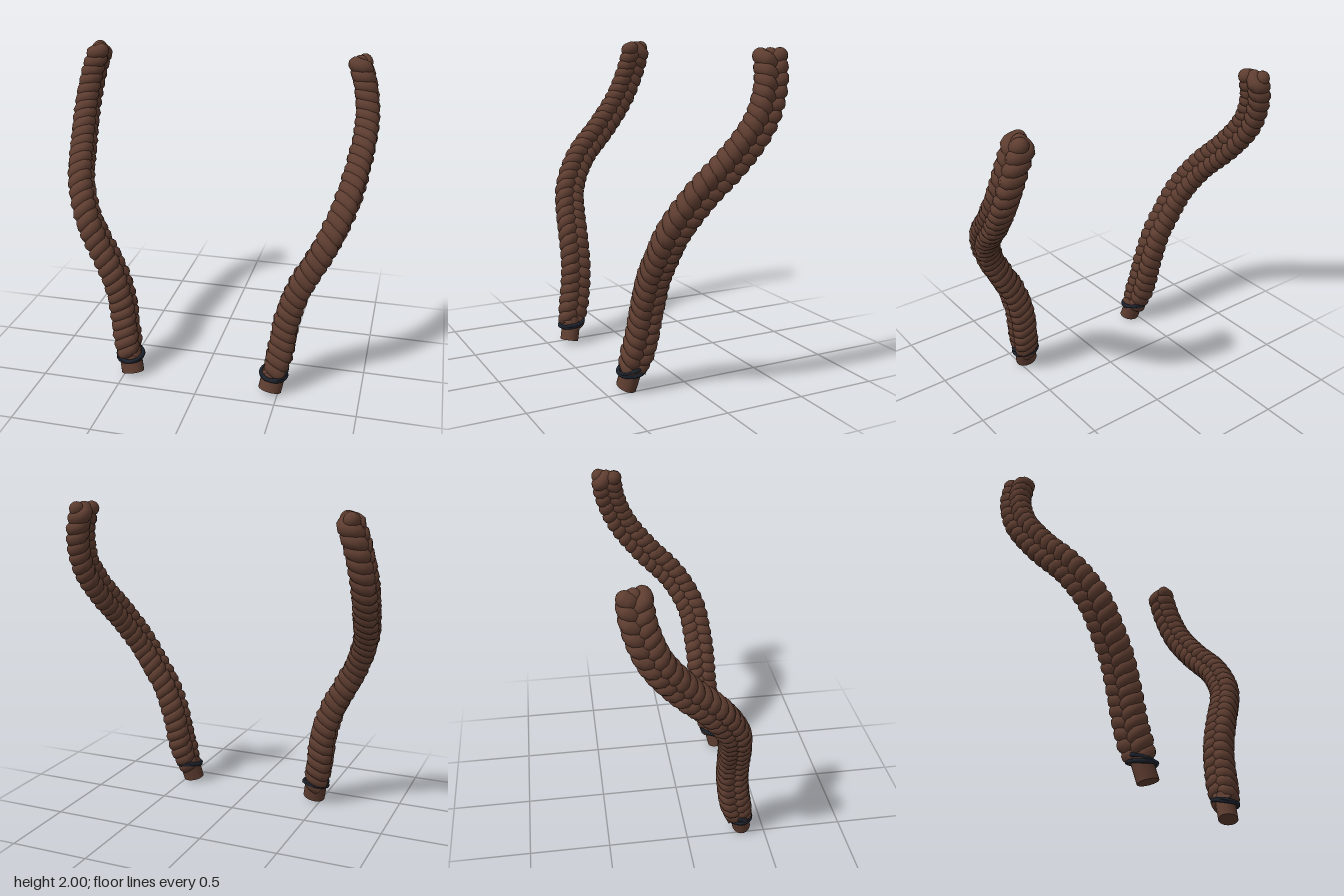
import * as THREE from 'three';

const V = (x, y, z) => new THREE.Vector3(x, y, z);

// Centre line of one braid, from the tie up to the top
const PATH = [
  [0.47, 0.11, 0.34], [0.505, 0.3, 0.295], [0.535, 0.5, 0.27], [0.60, 0.7, 0.26],
  [0.68, 0.85, 0.245], [0.755, 1.0, 0.215], [0.835, 1.2, 0.10], [0.88, 1.4, -0.09],
  [0.90, 1.6, -0.24], [0.875, 1.8, -0.315], [0.83, 1.945, -0.335],
];
const PITCH = 0.19; // length over which one strand weaves once
const RADIUS = 0.046;

export function createModel() {
  const hair = new THREE.MeshStandardMaterial({ color: 0x5e3d30 });
  hair.name = 'brown hair';
  const tie = new THREE.MeshStandardMaterial({ color: 0x1b212b });
  tie.name = 'dark tie';

  const path = new THREE.CatmullRomCurve3(PATH.map((p) => V(...p)));
  const turns = Math.round(path.getLength() / PITCH);
  const model = new THREE.Group();
  model.name = 'braids';

  // One strand: a figure of eight carried along the centre line
  function strandPoints(phase, side) {
    const pts = [];
    const n = turns * 16;
    for (let i = 0; i <= n; i++) {
      const u = i / n;
      const t = u * turns * Math.PI * 2 + phase;
      const tangent = path.getTangentAt(u);
      const face = V(1, 0, 0).addScaledVector(tangent, -tangent.x).normalize();
      const edge = V().crossVectors(face, tangent).normalize();
      const grow = 0.7 + 0.3 * Math.min(1, u / 0.06);
      const p = path.getPointAt(u)
        .addScaledVector(edge, Math.sin(t) * 0.054 * grow)
        .addScaledVector(face, Math.sin(2 * t) * (0.042 - 0.014 * u) * grow);
      p.x *= side;
      pts.push(p);
    }
    return pts;
  }

  function makeBraid(side) {
    const braid = new THREE.Group();
    braid.name = side > 0 ? 'leftBraid' : 'rightBraid';
    const add = (name, geometry, material) => {
      const mesh = new THREE.Mesh(geometry, material);
      mesh.name = name;
      braid.add(mesh);
      return mesh;
    };

    // Three woven strands with rounded ends at the top
    for (let k = 0; k < 3; k++) {
      const pts = strandPoints((k * Math.PI * 2) / 3, side);
      const curve = new THREE.CatmullRomCurve3(pts);
      add(`strand${k + 1}`, new THREE.TubeGeometry(curve, turns * 26, RADIUS, 12), hair);
      const tip = add(`strandTip${k + 1}`, new THREE.SphereGeometry(RADIUS, 12, 8), hair);
      tip.position.copy(pts[pts.length - 1]);
    }

    // Loose end below the tie
    const low = V(0.448 * side, 0.015, 0.362);
    const high = V(0.478 * side, 0.17, 0.327);
    const axis = high.clone().sub(low);
    const tail = add('tail', new THREE.CylinderGeometry(1, 1, axis.length(), 20), hair);
    tail.scale.set(0.073, 1, 0.058);
    tail.position.copy(low).add(high).multiplyScalar(0.5);
    tail.quaternion.setFromUnitVectors(V(0, 1, 0), axis.clone().normalize());

    // Two slightly crossed loops of the tie
    for (let k = 0; k < 2; k++) {
      const loop = add(`tieLoop${k + 1}`, new THREE.TorusGeometry(0.08, 0.012, 8, 32), tie);
      loop.position.set(0.467 * side, 0.122 + k * 0.012, 0.336);
      loop.rotation.set(Math.PI / 2 + 0.12 + k * 0.12, (k ? 0.12 : -0.14) * side, 0);
    }
    return braid;
  }

  for (const side of [1, -1]) model.add(makeBraid(side));
  return model;
}
